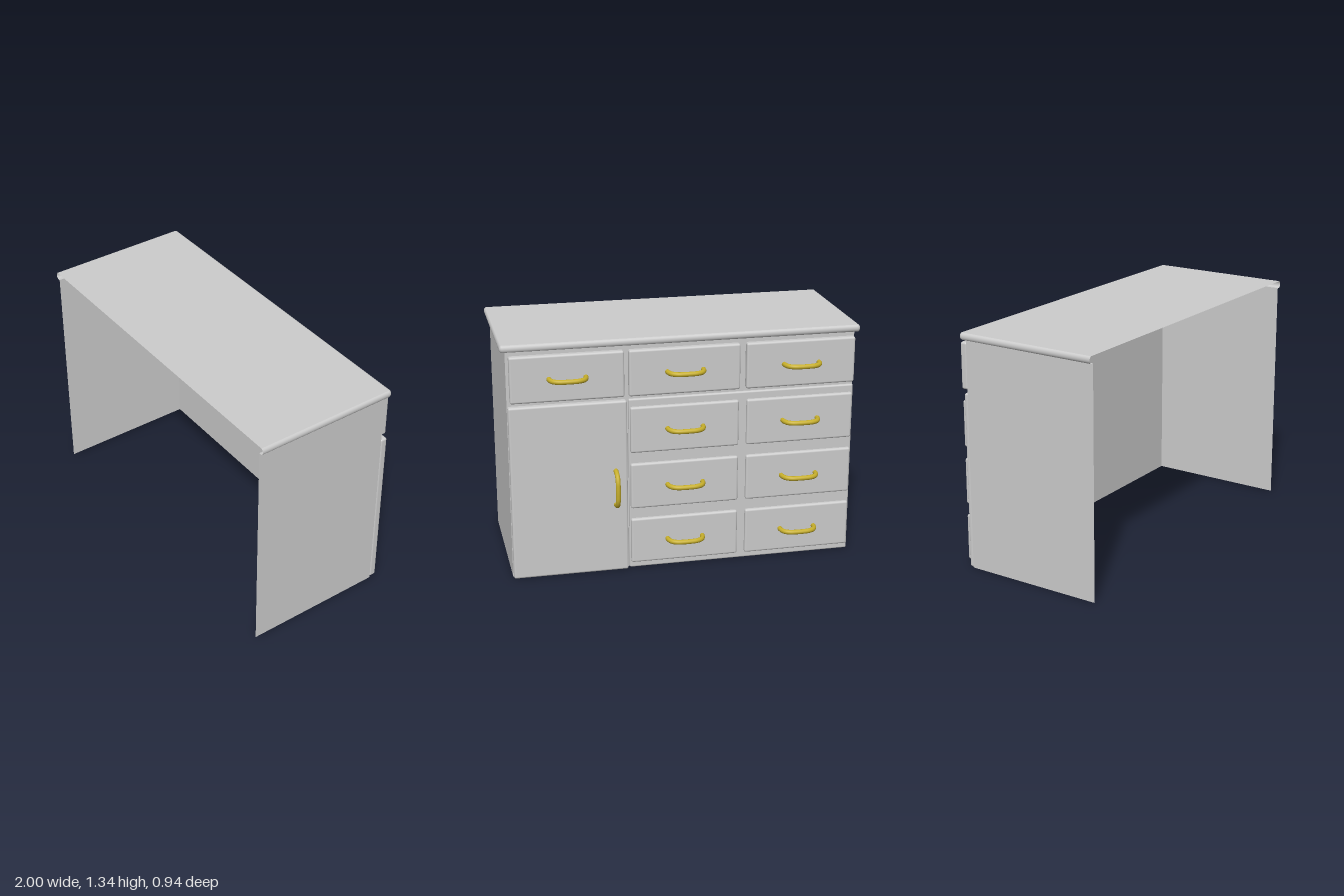
import * as THREE from 'three';
import { RoundedBoxGeometry } from 'three/addons/geometries/RoundedBoxGeometry.js';

const grey = new THREE.MeshStandardMaterial({ color: 0xcccccc });
const greySheet = new THREE.MeshStandardMaterial({ color: 0xcccccc, side: THREE.DoubleSide });
const brass = new THREE.MeshStandardMaterial({ color: 0xc8b02c });

const BACK = -0.34, FRONT = 0.47, SIDE = 0.97, BODY_TOP = 1.3;
const COLUMNS = [-0.655, 0, 0.645];

function add(parent, name, geometry, material, x = 0, y = 0, z = 0) {
  const mesh = new THREE.Mesh(geometry, material);
  mesh.name = name;
  mesh.position.set(x, y, z);
  parent.add(mesh);
  return mesh;
}

// Slab with softened edges, standing on the back face of the body
function slab(parent, name, x0, x1, y0, y1, z0, z1) {
  const g = new RoundedBoxGeometry(x1 - x0, y1 - y0, z1 - z0, 3, Math.min(0.012, (z1 - z0) * 0.4));
  return add(parent, name, g, grey, (x0 + x1) / 2, (y0 + y1) / 2, (z0 + z1) / 2);
}

// Bowed pull handle
const handleCurve = new THREE.CatmullRomCurve3([
  [-0.1, 0.005], [-0.097, -0.025], [-0.083, -0.052], [-0.055, -0.068], [-0.02, -0.072],
  [0.02, -0.072], [0.055, -0.068], [0.083, -0.052], [0.097, -0.025], [0.1, 0.005],
].map(([x, z]) => new THREE.Vector3(x, 0, z)));
const handleGeometry = new THREE.TubeGeometry(handleCurve, 32, 0.0135, 12);

function handle(parent, name, x, y, upright = false) {
  const mesh = add(parent, name, handleGeometry, brass, x, y, -0.385);
  if (upright) mesh.rotation.z = Math.PI / 2;
}

// U-shaped outline (sides and back, open at the front) pulled in by `inset`
function rimPath(inset) {
  const x = 1 - inset, z = -0.365 + inset, r = Math.max(0.02 - inset, 0.001);
  const half = [];
  for (let i = 0; i <= 4; i++) {
    const a = (i / 4) * Math.PI / 2;
    half.push([x - r + r * Math.cos(a), z + r - r * Math.sin(a)]);
  }
  const right = [[x, FRONT], ...half];
  return [...right, ...right.map(([px, pz]) => [-px, pz]).reverse()];
}

// Rounded worktop edge: rings of the outline from the upper rim to the under lip
function rimGeometry() {
  const profile = [];
  for (let i = 0; i <= 8; i++) {
    const a = (i / 8) * Math.PI;
    profile.push([0.014 * (1 - Math.sin(a)), 1.32 + 0.02 * Math.cos(a)]);
  }
  profile.push([0.03, 1.3]);
  const pos = [], index = [];
  profile.forEach(([inset, y]) => rimPath(inset).forEach(([x, z]) => pos.push(x, y, z)));
  const n = rimPath(0).length;
  for (let j = 0; j < profile.length - 1; j++) {
    for (let i = 0; i < n - 1; i++) {
      const a = j * n + i, b = a + 1, c = a + n, d = c + 1;
      index.push(a, c, b, b, c, d);
    }
  }
  const g = new THREE.BufferGeometry();
  g.setAttribute('position', new THREE.Float32BufferAttribute(pos, 3));
  // wind outward
  for (let i = 0; i < index.length; i += 3) [index[i + 1], index[i + 2]] = [index[i + 2], index[i + 1]];
  g.setIndex(index);
  g.computeVertexNormals();
  return g;
}

export function createModel() {
  const model = new THREE.Group();
  model.name = 'sideboard';

  // Thin carcass, open at the front and below
  const body = new THREE.Group();
  body.name = 'body';
  model.add(body);
  for (const s of [-1, 1]) {
    const g = new THREE.PlaneGeometry(FRONT - BACK, BODY_TOP).rotateY(s * Math.PI / 2);
    add(body, s > 0 ? 'leftSide' : 'rightSide', g, greySheet, s * SIDE, BODY_TOP / 2, (FRONT + BACK) / 2);
  }
  add(body, 'backPanel', new THREE.PlaneGeometry(2 * SIDE, BODY_TOP).rotateY(Math.PI), greySheet, 0, BODY_TOP / 2, BACK);

  // Worktop sheet with a rounded rim
  const worktop = new THREE.Group();
  worktop.name = 'worktop';
  model.add(worktop);
  const outline = new THREE.Shape(rimPath(0.014).map(([x, z]) => new THREE.Vector2(x, -z)));
  add(worktop, 'worktopSurface', new THREE.ShapeGeometry(outline).rotateX(-Math.PI / 2), greySheet, 0, 1.34, 0);
  add(worktop, 'worktopRim', rimGeometry(), greySheet);

  // Top row of three drawers
  COLUMNS.forEach((x) => {
    const drawer = new THREE.Group();
    drawer.name = 'topDrawer';
    slab(drawer, 'drawerFront', x - 0.31, x + 0.31, 1.02, 1.28, -0.385, -0.342);
    handle(drawer, 'drawerHandle', x, 1.15);
    model.add(drawer);
  });

  // Frame carrying two columns of three lower drawers
  slab(model, 'drawerFrame', -0.968, 0.312, 0.002, 1.0, -0.365, -0.342);
  for (const x of COLUMNS.slice(0, 2)) {
    for (const y of [0.17, 0.497, 0.825]) {
      const drawer = new THREE.Group();
      drawer.name = 'lowerDrawer';
      slab(drawer, 'drawerFront', x - 0.305, x + 0.305, y - 0.132, y + 0.132, -0.385, -0.345);
      handle(drawer, 'drawerHandle', x, y);
      model.add(drawer);
    }
  }

  // Cupboard door with an upright handle
  const door = new THREE.Group();
  door.name = 'door';
  slab(door, 'doorPanel', 0.322, 0.968, 0.002, 1.0, -0.385, -0.342);
  handle(door, 'doorHandle', 0.39, 0.5, true);
  model.add(door);

  return model;
}
